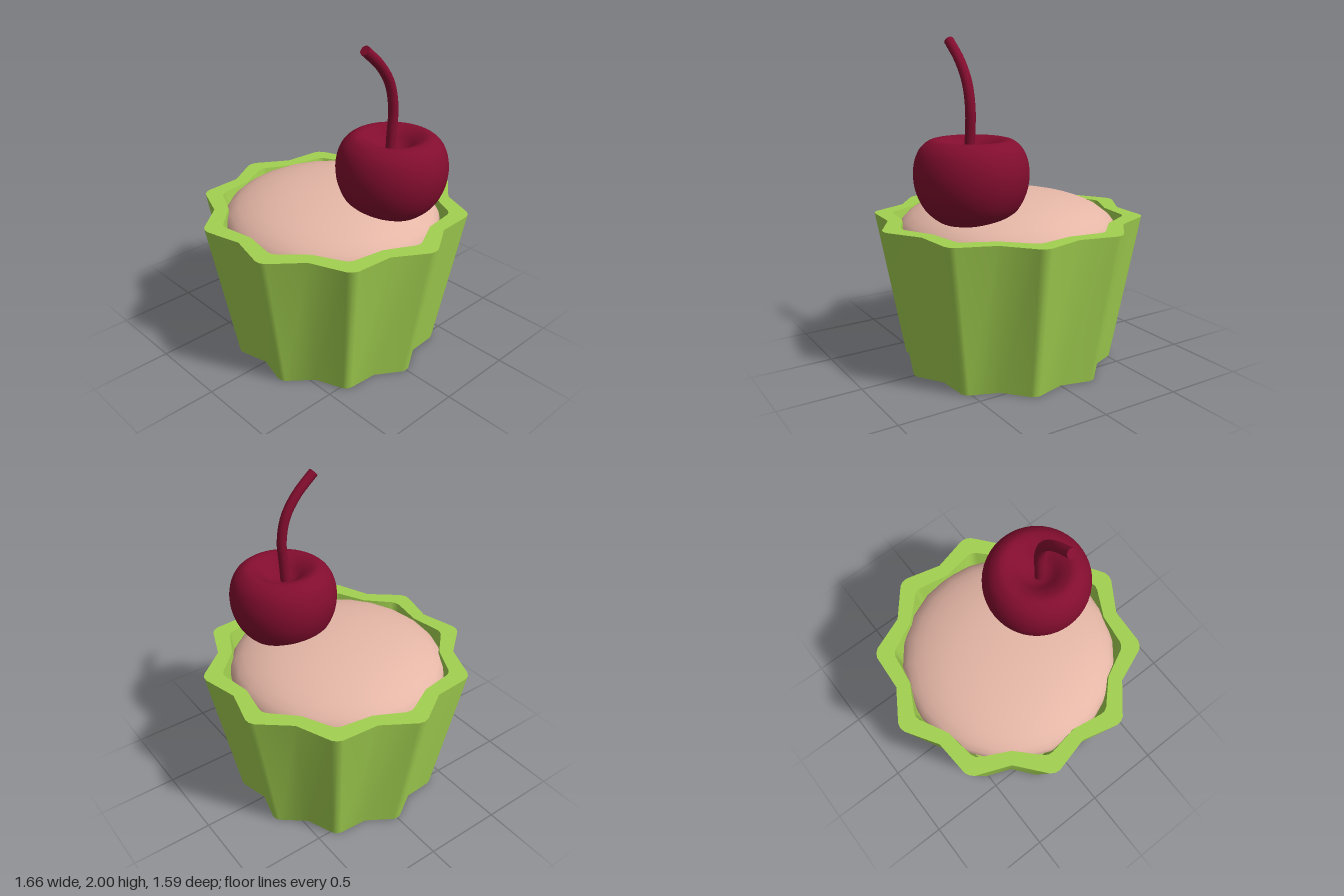
import * as THREE from 'three';

const material = (name, color) => {
  const m = new THREE.MeshStandardMaterial({ color });
  m.name = name;
  return m;
};

// Ten-pointed fluted outline with slightly blunted tips
function flutedRing(tip, valley, y) {
  const pts = [];
  const step = Math.PI / 5;
  for (let k = 0; k < 10; k++) {
    const corner = [[-0.04, tip * 0.992], [0, tip], [0.04, tip * 0.992], [step / 2, valley]];
    for (const [da, r] of corner) {
      const a = k * step + da;
      pts.push([r * Math.cos(a), y, r * Math.sin(a)]);
    }
  }
  return pts;
}

// Smooth band of quads between two outlines
function band(from, to) {
  const n = from.length;
  const index = [];
  for (let i = 0; i < n; i++) {
    const j = (i + 1) % n;
    index.push(i, n + i, j, j, n + i, n + j);
  }
  const g = new THREE.BufferGeometry();
  g.setAttribute('position', new THREE.Float32BufferAttribute([...from, ...to].flat(), 3));
  g.setIndex(index);
  g.computeVertexNormals();
  return g;
}

export function createModel() {
  const group = new THREE.Group();
  const green = material('wrapper green', 0xa2d050);
  const pink = material('frosting pink', 0xe4b6a6);
  const red = material('cherry red', 0x820d2e);

  const add = (parent, name, geometry, mat) => {
    const mesh = new THREE.Mesh(geometry, mat);
    mesh.name = name;
    parent.add(mesh);
    return mesh;
  };

  // Fluted, tapered wrapper: underside, outside, rim, inside and floor
  const wrapper = new THREE.Group();
  wrapper.name = 'wrapper';
  group.add(wrapper);
  const sections = [
    flutedRing(0, 0, 0),
    flutedRing(0.66, 0.585, 0),
    flutedRing(0.832, 0.738, 0.92),
    flutedRing(0.715, 0.65, 0.92),
    flutedRing(0.58, 0.525, 0.1),
    flutedRing(0, 0, 0.1),
  ];
  ['wrapperBase', 'wrapperWall', 'wrapperRim', 'wrapperInside', 'wrapperFloor'].forEach((name, i) =>
    add(wrapper, name, band(sections[i], sections[i + 1]), green));

  // Frosting dome
  const frosting = add(group, 'frosting', new THREE.SphereGeometry(1, 24, 18), pink);
  frosting.scale.set(0.68, 0.24, 0.675);
  frosting.position.set(-0.005, 0.83, 0.008);

  // Cherry body with a dimple around the stem
  const cherry = new THREE.Group();
  cherry.name = 'cherry';
  cherry.position.set(0.34, 0, -0.155);
  group.add(cherry);
  const outline = new THREE.SplineCurve([
    [0, 0.91], [0.1, 0.92], [0.2, 0.965], [0.275, 1.035], [0.32, 1.13], [0.335, 1.23],
    [0.322, 1.32], [0.285, 1.39], [0.22, 1.43], [0.15, 1.405], [0.08, 1.35], [0, 1.325],
  ].map(([x, y]) => new THREE.Vector2(x, y)));
  const profile = outline.getPoints(48).map((p) => new THREE.Vector2(Math.max(0, p.x), p.y));
  add(cherry, 'cherryBody', new THREE.LatheGeometry(profile, 48), red);

  // Curved stem with a flat cut end
  const path = new THREE.CatmullRomCurve3([
    [1.3, 0.02], [1.43, 0.013], [1.6, 0.005], [1.75, 0.04], [1.87, 0.122], [1.978, 0.245],
  ].map(([y, z]) => new THREE.Vector3(0, y, z)));
  add(cherry, 'stem', new THREE.TubeGeometry(path, 28, 0.03, 14), red);
  const cut = add(cherry, 'stemCut', new THREE.CircleGeometry(0.03, 14), red);
  cut.position.copy(path.getPoint(1));
  cut.quaternion.setFromUnitVectors(new THREE.Vector3(0, 0, 1), path.getTangent(1));

  return group;
}
